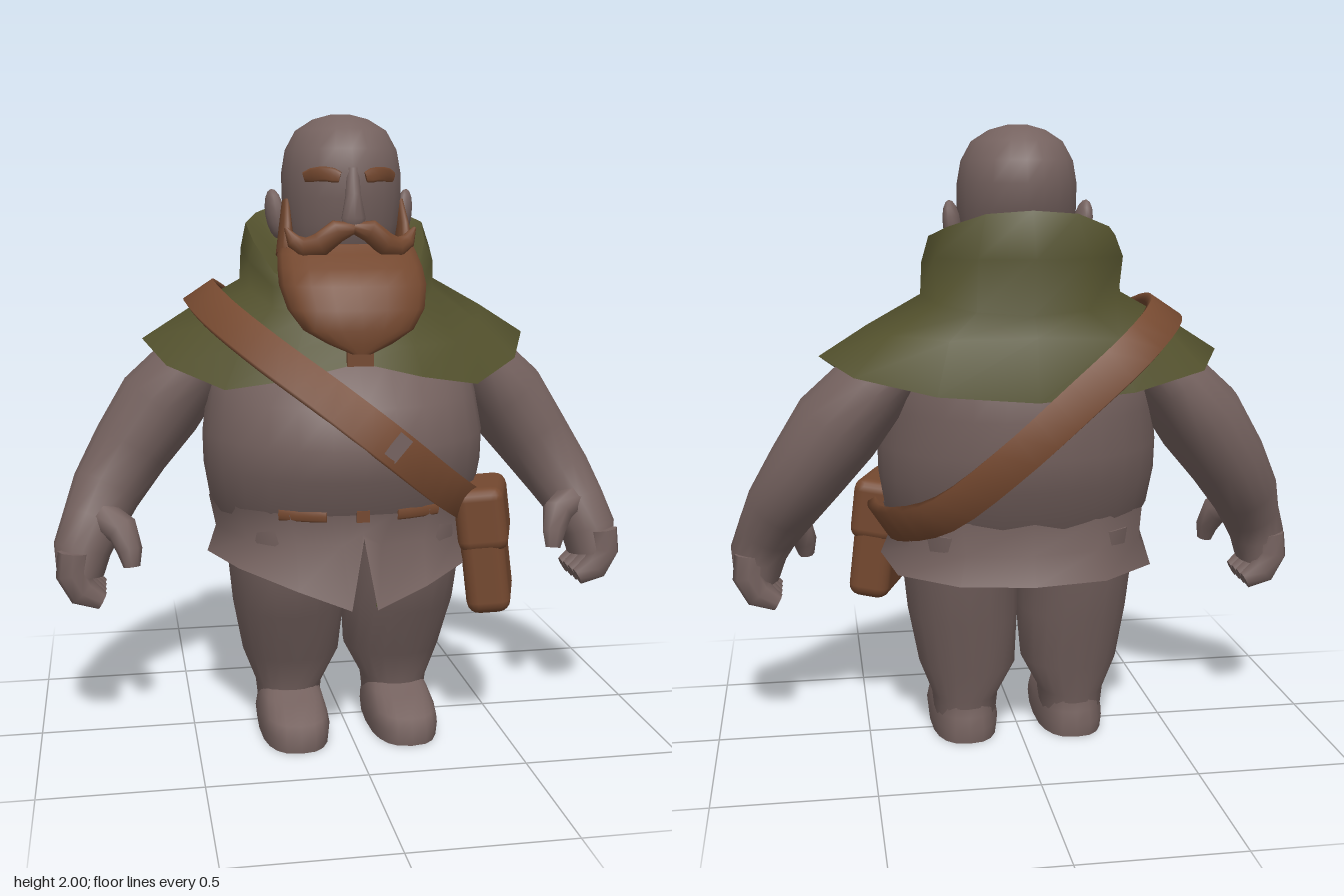
import * as THREE from 'three';
import { RoundedBoxGeometry } from 'three/addons/geometries/RoundedBoxGeometry.js';

const mat = (name, color) =>
  new THREE.MeshStandardMaterial({ name, color, side: THREE.DoubleSide });

// Skin a list of rings (arrays of [x, y, z], counter-clockwise about the loft direction)
function loft(rings, caps = true, loop = false) {
  const pos = [], idx = [], n = rings[0].length, m = rings.length;
  rings.forEach(r => r.forEach(p => pos.push(...p)));
  for (let r = 0; r < (loop ? m : m - 1); r++) {
    const s = (r + 1) % m;
    for (let j = 0; j < n; j++) {
      const k = (j + 1) % n;
      idx.push(r * n + j, r * n + k, s * n + k, r * n + j, s * n + k, s * n + j);
    }
  }
  if (caps && !loop) {
    [rings[0], rings[m - 1]].forEach((ring, end) => {
      const base = pos.length / 3;
      ring.forEach(p => pos.push(...p));
      pos.push(...[0, 1, 2].map(a => ring.reduce((t, p) => t + p[a], 0) / n));
      for (let j = 0; j < n; j++) {
        const k = (j + 1) % n;
        idx.push(base + n, base + (end ? j : k), base + (end ? k : j));
      }
    });
  }
  const g = new THREE.BufferGeometry();
  g.setAttribute('position', new THREE.Float32BufferAttribute(pos, 3));
  g.setIndex(idx);
  g.computeVertexNormals();
  return g;
}

// Horizontal oval ring; e below 1 makes it squarer
function ring(cx, y, rx, zb, zf, n = 20, e = 1) {
  const f = v => Math.sign(v) * Math.abs(v) ** e;
  return Array.from({ length: n }, (_, i) => {
    const a = (i / n) * Math.PI * 2;
    return [cx + rx * f(Math.sin(a)), y, (zb + zf) / 2 + (zf - zb) / 2 * f(Math.cos(a))];
  });
}

// Full ring from the half that runs front, left side, back
const mirrorRing = half =>
  [...half, ...half.slice(1, -1).reverse().map(([x, y, z]) => [-x, y, z])];

// Tapered limb along points [x, y, z, depth radius, side radius]
function limb(points, n = 10, sx = 1) {
  const v = points.map(p => new THREE.Vector3(p[0] * sx, p[1], p[2]));
  return loft(points.map((p, i) => {
    const t = v[Math.min(i + 1, v.length - 1)].clone().sub(v[Math.max(i - 1, 0)]).normalize();
    const u = new THREE.Vector3(0, 0, 1).addScaledVector(t, -t.z).normalize();
    const w = t.clone().cross(u);
    return Array.from({ length: n }, (_, j) => {
      const a = (j / n) * Math.PI * 2;
      return v[i].clone().addScaledVector(u, Math.cos(a) * p[3])
        .addScaledVector(w, Math.sin(a) * (p[4] ?? p[3])).toArray();
    });
  }));
}

export function createModel() {
  const model = new THREE.Group();
  const skin = mat('greyBrown', 0x75625f);
  const green = mat('mossGreen', 0x53512d);
  const brown = mat('leatherBrown', 0x74482f);
  const add = (name, geo, m) => {
    const mesh = new THREE.Mesh(geo, m);
    mesh.name = name;
    model.add(mesh);
    return mesh;
  };

  // Torso: [y, half width, back z, front z]
  add('torso', loft([
    [.68, .38, -.31, .33], [.78, .435, -.36, .385], [.9, .455, -.42, .44], [1, .457, -.44, .458],
    [1.12, .44, -.445, .42], [1.25, .42, -.43, .31], [1.36, .32, -.37, .16], [1.41, .2, -.26, .1],
  ].map(r => ring(0, ...r, 28))), skin);

  // Tunic skirt with a split front
  const skirt = [
    [[0, .72, .41], [.04, .5, .43], [.2, .56, .4], [.37, .61, .28], [.45, .61, .05], [.41, .6, -.2], [.23, .6, -.36], [0, .6, -.4]],
    [[0, .73, .385], [.06, .69, .375], [.2, .69, .345], [.34, .69, .24], [.42, .69, .03], [.37, .69, -.2], [.21, .69, -.33], [0, .69, -.36]],
    [[0, .79, .39], [.1, .79, .385], [.22, .79, .345], [.36, .79, .24], [.44, .79, .02], [.38, .79, -.19], [.22, .79, -.32], [0, .79, -.365]],
  ];
  add('tunicSkirt', loft(skirt.map(mirrorRing), false), skin);

  // Shoulder cape rising into a slanted collar, from hem to rim
  const cape = [
    [[0, 1.25, .34], [.2, 1.2, .32], [.4, 1.16, .22], [.57, 1.22, .06], [.64, 1.29, -.1], [.54, 1.25, -.32], [.3, 1.2, -.41], [0, 1.18, -.445]],
    [[0, 1.31, .29], [.18, 1.29, .27], [.34, 1.29, .18], [.45, 1.34, .04], [.49, 1.385, -.1], [.43, 1.37, -.28], [.26, 1.36, -.38], [0, 1.37, -.42]],
    [[0, 1.37, .23], [.14, 1.38, .2], [.24, 1.4, .13], [.3, 1.45, .02], [.32, 1.48, -.1], [.28, 1.46, -.24], [.17, 1.44, -.32], [0, 1.43, -.35]],
    [[0, 1.4, .22], [.14, 1.43, .19], [.24, 1.47, .12], [.3, 1.54, .01], [.315, 1.58, -.1], [.29, 1.6, -.26], [.17, 1.6, -.36], [0, 1.6, -.39]],
    [[0, 1.41, .2], [.13, 1.45, .17], [.23, 1.51, .1], [.28, 1.6, -.02], [.295, 1.66, -.13], [.25, 1.69, -.24], [.14, 1.73, -.31], [0, 1.74, -.325]],
  ];
  add('hoodedCape', loft(cape.map(mirrorRing), false), green);

  // Inside of the collar, from rim down to the neck
  add('hoodLining', loft([
    cape[4],
    [[0, 1.4, .12], [.07, 1.43, .11], [.13, 1.46, .07], [.15, 1.5, 0], [.15, 1.51, -.05], [.13, 1.52, -.1], [.07, 1.53, -.13], [0, 1.53, -.14]],
  ].map(mirrorRing), false), green);

  // Head and neck
  add('head', loft([
    [1.36, .13, -.15, .08], [1.5, .14, -.14, .12], [1.58, .165, -.14, .17], [1.66, .18, -.18, .195],
    [1.74, .19, -.215, .21], [1.82, .19, -.23, .215], [1.89, .178, -.215, .195], [1.95, .145, -.17, .15],
    [1.985, .09, -.11, .08], [2, .035, -.06, .02],
  ].map(r => ring(0, ...r, 22))), skin);
  add('nose', limb([
    [0, 1.83, .2, .014, .02], [0, 1.75, .215, .02, .024], [0, 1.68, .222, .026, .038], [0, 1.65, .212, .018, .03],
  ]), skin);

  // Beard, jutting forward and down
  add('beard', loft([
    [1.28, .03, .355, .375], [1.31, .1, .31, .382], [1.35, .17, .25, .385], [1.41, .212, .17, .38],
    [1.48, .23, .08, .345], [1.53, .228, .03, .3], [1.57, .222, 0, .23], [1.6, .212, -.01, .195],
  ].map(r => ring(0, ...r, 20, .85))), brown);

  for (const s of [1, -1]) {
    const side = s > 0 ? 'left' : 'right';
    add(side + 'Sideburn', limb([
      [.19, 1.57, .075, .085, .03], [.188, 1.65, .055, .06, .02], [.183, 1.73, .03, .03, .012],
    ], 10, s), brown);
    add(side + 'Moustache', limb([
      [0, 1.65, .222, .02, .018], [.05, 1.642, .225, .026, .036], [.1, 1.602, .215, .028, .038],
      [.145, 1.59, .195, .026, .033], [.18, 1.61, .18, .018, .024], [.203, 1.65, .17, .005],
    ], 10, s), brown);

    // Ear
    const ear = add(side + 'Ear', new THREE.SphereGeometry(1, 12, 8), skin);
    ear.scale.set(.028, .08, .042);
    ear.position.set(s * .21, 1.69, -.03);
    ear.rotation.set(-.15, s * -.35, s * -.15);

    // Eyebrow plate that follows the brow
    const brow = Array.from({ length: 6 }, (_, i) => {
      const x = .04 + i * .02;
      const z = -.0075 + .2225 * Math.sqrt(1 - (x / .19) ** 2);
      return [x, 1.803 + .01 * Math.sin(i / 5 * Math.PI), z, .0045, i % 5 ? .022 : .016];
    });
    add(side + 'Eyebrow', limb(brow, 8, s), brown);

    // Arm, fingers and thumb
    add(side + 'Arm', limb([
      [.38, 1.28, -.11, .18, .09], [.48, 1.19, -.12, .195, .125], [.585, 1.07, -.115, .18, .145],
      [.685, .93, -.1, .15, .13], [.77, .8, -.05, .11, .115], [.815, .71, .01, .095, .1],
      [.85, .63, .035, .1, .092], [.858, .55, .045, .1, .075],
    ], 16, s), skin);
    for (let k = 0; k < 4; k++) {
      const z = -.035 + k * .05;
      add(side + 'Finger' + (k + 1), limb([
        [.875, .64, z, .035, .05], [.882, .57, z, .036, .052], [.85, .51, z, .035, .05], [.79, .478, z, .026, .03],
      ], 8, s), skin);
    }
    add(side + 'Thumb', limb([
      [.79, .74, .04, .055], [.72, .7, .095, .052], [.7, .64, .125, .04], [.695, .59, .135, .026],
    ], 8, s), skin);

    // Leg and foot
    add(side + 'Leg', loft([
      [.18, .05, .1, -.14, .1], [.18, .14, .11, -.155, .12], [.172, .25, .16, -.19, .15],
      [.184, .43, .182, -.24, .26], [.193, .6, .19, -.29, .32], [.194, .74, .19, -.31, .32],
    ].map(([cx, ...r]) => ring(s * cx, ...r, 20, .9))), skin);
    add(side + 'Foot', loft([
      [0, .11, -.16, .31], [.045, .115, -.165, .315], [.085, .108, -.155, .295], [.12, .1, -.15, .18], [.14, .09, -.15, .12],
    ].map(r => ring(s * .18, ...r, 20, .75))), skin);

    // Green lining behind the front skirt flap
    const lining = skirt.slice(0, 2).map(half => {
      const inset = (k, lift) => half.slice(1, 4).map(([x, y, z]) => [x * k * s, y + lift, z * k]);
      const edge = [...inset(.965, .006), ...inset(.95, .006).reverse()];
      return s > 0 ? edge : edge.reverse();
    });
    add(side + 'FlapLining', loft(lining), green);

    // Belt strip on the waist
    add(side + 'BeltStrip', limb([.11, .15, .2, .25].map(x =>
      [x, .787, .012 + .375 * Math.sqrt(1 - (x / .437) ** 2) + .004, .005, .018]), 8, s), brown);
  }

  // Shoulder strap looping round the body
  const path = new THREE.CatmullRomCurve3([
    [-.445, 1.43, -.1], [-.395, 1.375, .1], [-.27, 1.275, .275], [-.1, 1.15, .395], [.08, 1.01, .452],
    [.25, .87, .378], [.37, .78, .25], [.445, .74, .06], [.415, .755, -.15], [.28, .82, -.315],
    [.08, 1, -.437], [-.12, 1.18, -.452], [-.3, 1.33, -.41], [-.415, 1.415, -.28],
  ].map(p => new THREE.Vector3(...p)), true);
  const centre = new THREE.Vector3(0, .95, 0);
  const strap = Array.from({ length: 48 }, (_, i) => {
    const p = path.getPoint(i / 48), t = path.getTangent(i / 48);
    const out = p.clone().sub(centre);
    out.y *= 1.4;
    out.addScaledVector(t, -out.dot(t)).normalize();
    const across = t.clone().cross(out);
    return [[-.014, -1], [.016, -1], [.016, 1], [-.014, 1]].map(([o, w]) =>
      p.clone().addScaledVector(out, o).addScaledVector(across, w * .058).toArray());
  });
  add('shoulderStrap', loft(strap, false, true), brown);

  // Small fittings: strap buckle, collar clasp, belt buckle
  const buckle = add('strapBuckle', new THREE.BoxGeometry(.045, .1, .009), skin);
  buckle.position.set(.085, 1.005, .47);
  buckle.rotation.z = -.7;
  add('collarClasp', new THREE.BoxGeometry(.08, .05, .02), brown).position.set(0, 1.265, .335);
  add('beltBuckle', new THREE.BoxGeometry(.04, .036, .02), brown).position.set(0, .787, .388);

  // Satchel on the left hip
  const satchel = new THREE.Group();
  satchel.name = 'satchel';
  const body = new THREE.Mesh(new RoundedBoxGeometry(.28, .38, .14, 2, .04), brown);
  body.name = 'satchelBody';
  body.position.y = -.02;
  const flap = new THREE.Mesh(new RoundedBoxGeometry(.29, .21, .16, 2, .04), brown);
  flap.name = 'satchelFlap';
  flap.position.set(0, .095, .004);
  satchel.add(body, flap);
  satchel.position.set(.435, .645, .21);
  satchel.rotation.set(-.12, 1.25, 0, 'YXZ');
  model.add(satchel);

  return model;
}
